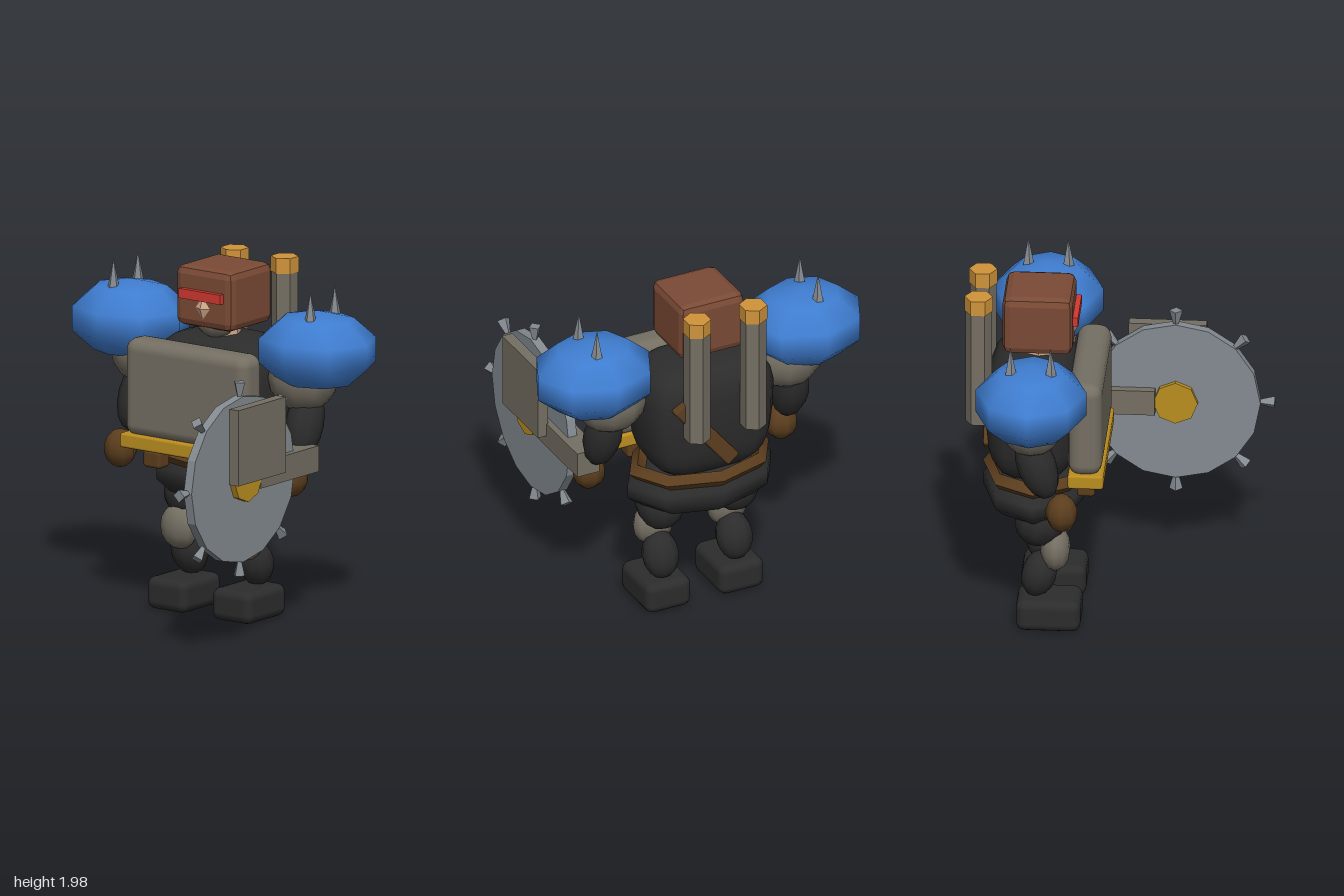
import * as THREE from 'three';
import { toCreasedNormals } from 'three/addons/utils/BufferGeometryUtils.js';
import { RoundedBoxGeometry } from 'three/addons/geometries/RoundedBoxGeometry.js';

const COLORS = {
  blue: 0x3f7dd0, taupe: 0x756f63, black: 0x2c2c2c, leather: 0x5c3e1e, rust: 0x7a4a35,
  red: 0xd0392f, skin: 0xd2ab8c, gold: 0xbb8e20, brass: 0xd0943a, steel: 0x848b91,
};

export function createModel() {
  const model = new THREE.Group();
  model.name = 'armouredFighter';
  const mats = {};
  for (const [name, color] of Object.entries(COLORS)) {
    mats[name] = new THREE.MeshStandardMaterial({ color });
    mats[name].name = name;
  }

  const add = (name, geo, mat, pos, rot = [0, 0, 0], scale = [1, 1, 1]) => {
    const m = new THREE.Mesh(geo, mats[mat]);
    m.name = name;
    m.position.set(...pos);
    m.rotation.set(...rot);
    m.scale.set(...scale);
    model.add(m);
    return m;
  };
  const crisp = (geo, angle = 0.6) => toCreasedNormals(geo, angle);
  const rounded = (w, h, d, r, seg = 2) => new RoundedBoxGeometry(w, h, d, seg, r);
  const blob = (name, mat, pos, radii, rot, w = 10, h = 8) =>
    add(name, new THREE.SphereGeometry(1, w, h), mat, pos, rot, radii);

  // Torso: a sphere squared off, tapering towards the waist
  const torso = new THREE.SphereGeometry(1, 16, 12);
  const p = torso.attributes.position;
  const square = (v, e) => Math.sign(v) * Math.abs(v) ** e;
  for (let i = 0; i < p.count; i++) {
    const y = square(p.getY(i), 0.65);
    const taper = 0.94 + 0.06 * y;
    p.setXYZ(i, 0.415 * taper * square(p.getX(i), 0.5), 0.36 * y, 0.28 * taper * square(p.getZ(i), 0.6));
  }
  torso.computeVertexNormals();
  add('torso', torso, 'black', [0, 1.23, -0.46]);
  add('chestPlate', rounded(0.86, 0.56, 0.19, 0.07), 'taupe', [0, 1.28, -0.15]);
  add('waistTrim', rounded(0.88, 0.085, 0.2, 0.015, 1), 'gold', [0, 0.977, -0.145]);

  // Hips, belt and pouches
  blob('pelvis', 'black', [0, 0.775, -0.44], [0.46, 0.165, 0.31], [0, 0, 0], 8, 7);
  const beltGeo = new THREE.TorusGeometry(1, 0.13, 4, 8);
  beltGeo.rotateX(Math.PI / 2);
  add('belt', crisp(beltGeo), 'leather', [0, 0.885, -0.44], [0, 0, 0], [0.385, 0.38, 0.27]);
  for (const s of [-1, 1]) {
    add('beltPouch', rounded(0.12, 0.1, 0.1, 0.02), 'leather', [s * 0.26, 0.88, -0.15]);
  }

  // Diagonal strap across the back
  add('backStrap', rounded(0.09, 0.53, 0.07, 0.012, 1), 'leather', [0.1, 1.21, -0.705], [0, 0, -0.68]);

  // Head
  add('neck', crisp(new THREE.CylinderGeometry(0.095, 0.095, 0.2, 8)), 'skin', [0, 1.6, -0.43]);
  blob('chin', 'taupe', [0, 1.66, -0.36], [0.115, 0.09, 0.11], [0, 0, 0], 10, 8);
  add('helmet', crisp(rounded(0.4, 0.345, 0.39, 0.045, 1), 0.2), 'rust', [0, 1.808, -0.43]);
  add('visor', new THREE.BoxGeometry(0.29, 0.055, 0.06), 'red', [0, 1.828, -0.235]);
  add('nose', new THREE.OctahedronGeometry(1), 'skin', [0, 1.755, -0.24], [0, 0, 0], [0.06, 0.077, 0.03]);

  // Exhaust pipes
  const hex = (r, h) => crisp(new THREE.CylinderGeometry(r, r, h, 6));
  for (const s of [-1, 1]) {
    add('exhaustPipe', hex(0.074, 0.7), 'taupe', [s * 0.175, 1.565, -0.757]);
    add('exhaustCap', hex(0.079, 0.088), 'brass', [s * 0.175, 1.94, -0.757]);
  }

  for (const s of [-1, 1]) {
    // Shoulder guard and its two spikes
    blob('shoulderGuard', 'blue', [s * 0.655, 1.577, -0.43], [0.363, 0.223, 0.325], [0, 0, 0], 8, 5);
    for (const z of [-0.32, -0.543]) {
      add('shoulderSpike', crisp(new THREE.ConeGeometry(0.036, 0.18, 5)), 'steel', [s * 0.69, 1.843, z]);
    }
    // Arm
    blob('upperArm', 'taupe', [s * 0.55, 1.4, -0.435], [0.205, 0.19, 0.18]);
    blob('forearm', 'black', [s * 0.585, 1.155, -0.405], [0.107, 0.21, 0.11], [-0.35, 0, s * 0.05]);
    blob('hand', 'leather', [s * 0.6, 0.87, -0.265], [0.097, 0.11, 0.09], [0, 0, 0], 8, 7);
    // Leg
    blob('thigh', 'black', [s * 0.23, 0.64, -0.41], [0.14, 0.155, 0.145], [0.35, 0, 0]);
    blob('kneeGuard', 'taupe', [s * 0.23, 0.465, -0.325], [0.122, 0.13, 0.085], [0, 0, 0]);
    blob('shin', 'black', [s * 0.23, 0.31, -0.415], [0.108, 0.14, 0.1], [0.3, 0, 0]);
    add('boot', rounded(0.278, 0.185, 0.36, 0.05), 'black', [s * 0.228, 0.0925, -0.36]);
  }

  // Saw arm
  const sawX = 0.655, sawY = 0.972, sawZ = 0.283, side = [0, 0, Math.PI / 2];
  add('sawDisc', crisp(new THREE.CylinderGeometry(0.473, 0.473, 0.055, 16), 0.3), 'steel', [sawX, sawY, sawZ], side);
  add('sawHub', crisp(new THREE.CylinderGeometry(0.125, 0.125, 0.12, 8)), 'gold', [sawX + 0.005, sawY, sawZ], side);
  for (let i = 0; i < 8; i++) {
    // Teeth flare outwards
    const a = (i / 8) * Math.PI * 2;
    const tooth = crisp(new THREE.CylinderGeometry(0.038, 0.014, 0.09, 4));
    add('sawTooth', tooth, 'steel',
      [sawX, sawY + Math.cos(a) * 0.507, sawZ + Math.sin(a) * 0.507], [a, 0, 0]);
  }
  add('sawBeam', new THREE.BoxGeometry(0.14, 0.148, 0.53), 'taupe', [0.65, 0.977, -0.095]);
  add('sawGuard', new THREE.BoxGeometry(0.064, 0.432, 0.434), 'taupe', [0.743, 1.19, 0.232]);

  return model;
}
